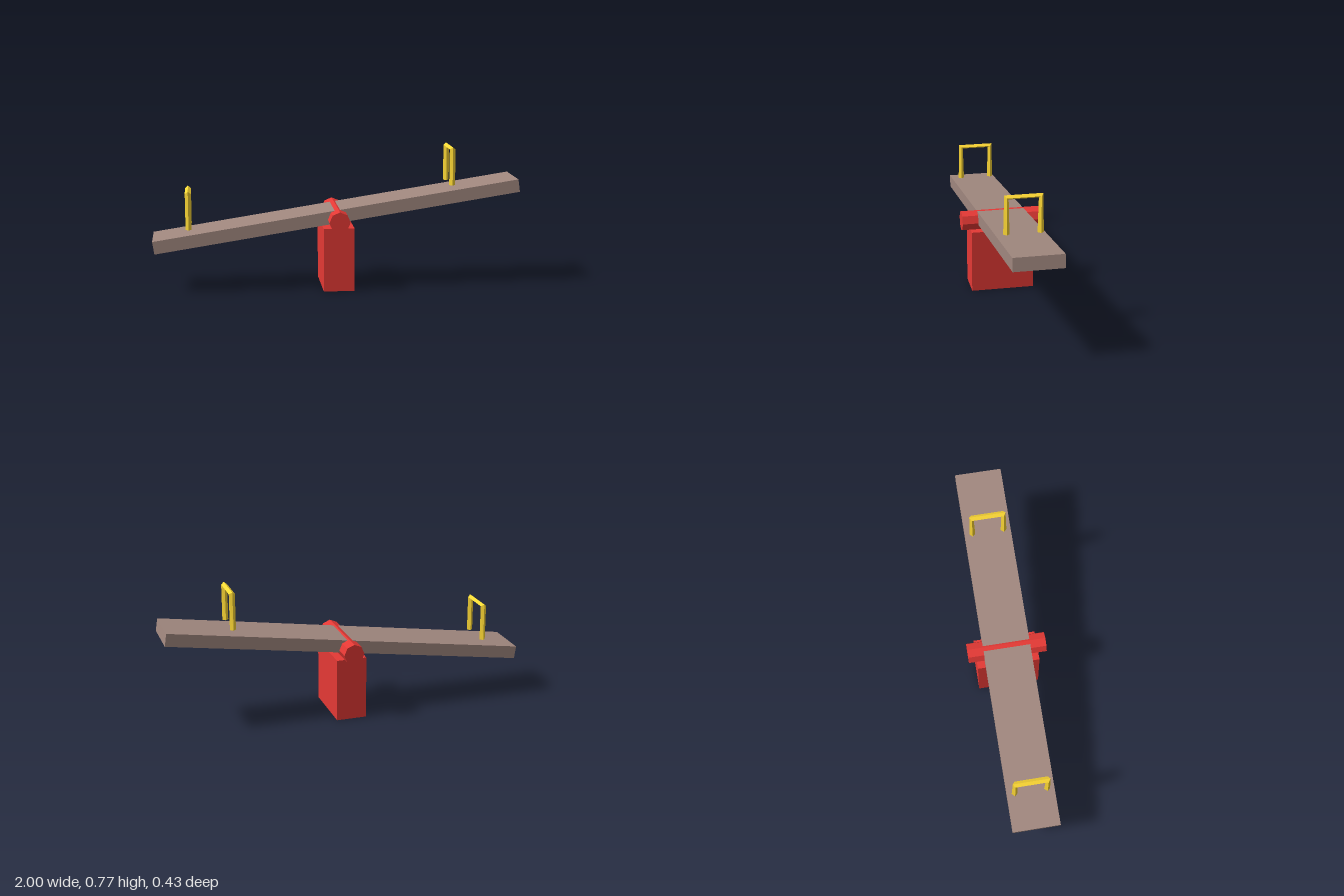
import * as THREE from 'three';

const mat = (color) => new THREE.MeshStandardMaterial({ color, flatShading: true });

function part(name, geometry, material, x = 0, y = 0, z = 0) {
  const mesh = new THREE.Mesh(geometry, material);
  mesh.name = name;
  mesh.position.set(x, y, z);
  return mesh;
}

// Square bar set on edge, swept along a U path with mitred corners
function handleGeometry(halfWidth, height, r) {
  const m = Math.SQRT1_2;
  // each ring: centre z, y and outward direction z, y
  const rings = [
    [halfWidth, 0, 1, 0],
    [halfWidth, height, m, m],
    [-halfWidth, height, -m, m],
    [-halfWidth, 0, -1, 0],
  ];
  const positions = [];
  const index = [];
  for (const [z, y, nz, ny] of rings) {
    positions.push(0, y + r * ny, z + r * nz, r, y, z);
    positions.push(0, y - r * ny, z - r * nz, -r, y, z);
  }
  for (let i = 0; i < rings.length - 1; i++) {
    for (let j = 0; j < 4; j++) {
      const a = i * 4 + j, b = i * 4 + (j + 1) % 4;
      index.push(a, b, a + 4, b, b + 4, a + 4);
    }
  }
  // end caps
  index.push(0, 2, 1, 0, 3, 2, 12, 13, 14, 12, 14, 15);
  const geometry = new THREE.BufferGeometry();
  geometry.setAttribute('position', new THREE.Float32BufferAttribute(positions, 3));
  geometry.setIndex(index);
  const flat = geometry.toNonIndexed();
  flat.computeVertexNormals();
  return flat;
}

export function createModel() {
  const group = new THREE.Group();
  group.name = 'seesaw';
  const red = mat(0xe53935);
  const wood = mat(0xa1887f);
  const yellow = mat(0xfdd835);
  yellow.side = THREE.DoubleSide;

  // Support block
  group.add(part('base', new THREE.BoxGeometry(0.167, 0.348, 0.344), red, 0, 0.174, 0));

  // Eight-sided pivot running front to back
  const axle = new THREE.CylinderGeometry(0.0565, 0.0565, 0.432, 8).rotateX(Math.PI / 2);
  group.add(part('axle', axle, red, 0, 0.389, 0));

  // Tilted plank
  const plank = part('plank', new THREE.BoxGeometry(2.012, 0.07, 0.258), wood, 0, 0.405, 0);
  plank.rotation.z = 0.15;
  group.add(plank);

  // Upright handles, one near each end
  const handle = handleGeometry(0.0875, 0.197, 0.0163);
  group.add(part('rightHandle', handle, yellow, -0.805, 0.342, 0));
  group.add(part('leftHandle', handle, yellow, 0.63, 0.558, 0));

  return group;
}
